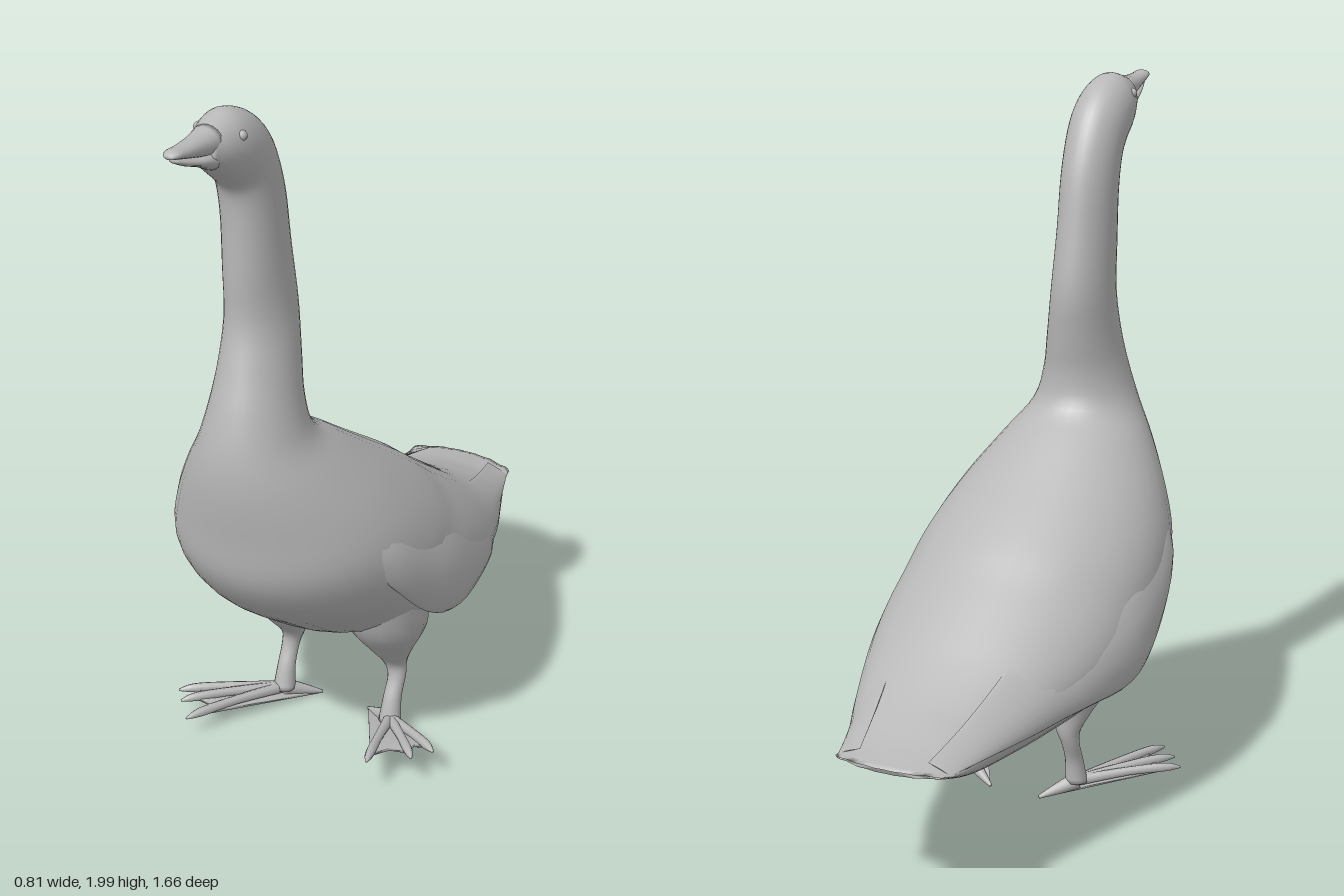
import * as THREE from 'three';

const plumage = new THREE.MeshStandardMaterial({ color: 0xb8b8b8 });
plumage.name = 'plain grey';

const V = (x, y, z) => new THREE.Vector3(x, y, z);

// Skin a list of closed rings, cap both ends and keep the faces outward.
function loft(name, rings) {
  const n = rings[0].length, pos = [], idx = [];
  rings.forEach(r => r.forEach(p => pos.push(p.x, p.y, p.z)));
  for (let i = 0; i < rings.length - 1; i++) {
    for (let j = 0; j < n; j++) {
      const a = i * n + j, b = i * n + (j + 1) % n;
      idx.push(a, b, a + n, b, b + n, a + n);
    }
  }
  [0, rings.length - 1].forEach((i, end) => {
    const c = rings[i].reduce((s, p) => s.add(p), V(0, 0, 0)).divideScalar(n);
    const k = pos.length / 3;
    pos.push(c.x, c.y, c.z);
    for (let j = 0; j < n; j++) {
      const a = i * n + j, b = i * n + (j + 1) % n;
      idx.push(...(end ? [a, b, k] : [b, a, k]));
    }
  });
  const at = k => V(pos[3 * k], pos[3 * k + 1], pos[3 * k + 2]);
  let volume = 0;
  for (let k = 0; k < idx.length; k += 3) {
    volume += at(idx[k]).dot(at(idx[k + 1]).cross(at(idx[k + 2])));
  }
  if (volume < 0) idx.reverse();
  const g = new THREE.BufferGeometry();
  g.setAttribute('position', new THREE.Float32BufferAttribute(pos, 3));
  g.setIndex(idx);
  g.computeVertexNormals();
  const mesh = new THREE.Mesh(g, plumage);
  mesh.name = name;
  return mesh;
}

// Smoothly interpolate rows of numbers, a few steps between each pair.
function refine(rows, steps) {
  const out = [], last = rows.length - 1;
  for (let i = 0; i <= last * steps; i++) {
    const k = Math.min(Math.floor(i / steps), last - 1), t = i / steps - k;
    const r = d => rows[Math.max(0, Math.min(last, k + d))];
    out.push(rows[0].map((_, c) => {
      const a = r(-1)[c], b = r(0)[c], d = r(1)[c], e = r(2)[c];
      return b + 0.5 * t * (d - a + t * (2 * a - 5 * b + 4 * d - e + t * (3 * (b - d) + e - a)));
    }));
  }
  return out;
}

// Oval ring between a front/lower point and a back/upper point.
function ovalRing([fz, fy, bz, by, w, cx], n = 36) {
  return Array.from({ length: n }, (_, j) => {
    const a = j / n * Math.PI * 2, c = Math.cos(a), s = Math.sin(a);
    return V(cx + w * s, (fy + by) / 2 + c * (fy - by) / 2, (fz + bz) / 2 + c * (fz - bz) / 2);
  });
}

// Tapered limb through rows of x, y, z, radius.
function limb(name, rows, horizontal = false, n = 12) {
  const pts = refine(rows, 4);
  const rings = pts.map((p, i) => {
    const a = pts[Math.max(0, i - 1)], b = pts[Math.min(pts.length - 1, i + 1)];
    const dir = horizontal ? V(0, -1, 0) : V(b[0] - a[0], b[1] - a[1], b[2] - a[2]).normalize();
    const u = V(0, 1, 0).cross(dir);
    if (u.lengthSq() < 0.01) u.set(1, 0, 0);
    u.normalize();
    const v = dir.clone().cross(u);
    return Array.from({ length: n }, (_, j) => {
      const t = j / n * Math.PI * 2;
      return V(p[0], p[1], p[2]).addScaledVector(u, Math.cos(t) * p[3]).addScaledVector(v, Math.sin(t) * p[3]);
    });
  });
  return loft(name, rings);
}

// Head, neck, breast, back and tail: front z, y, back z, y, half width, centre x
const BODY = [
  [0.67, 1.885, 0.665, 1.972, 0.038, -0.035], [0.63, 1.85, 0.62, 1.988, 0.06, -0.035],
  [0.58, 1.81, 0.555, 2.0, 0.077, -0.037], [0.55, 1.78, 0.47, 1.965, 0.081, -0.037],
  [0.535, 1.74, 0.4, 1.89, 0.08, -0.037], [0.53, 1.66, 0.345, 1.76, 0.079, -0.037],
  [0.53, 1.53, 0.315, 1.6, 0.08, -0.037], [0.53, 1.4, 0.29, 1.42, 0.086, -0.034],
  [0.565, 1.28, 0.305, 1.28, 0.1, -0.025], [0.6, 1.18, 0.32, 1.17, 0.118, -0.02],
  [0.627, 1.07, 0.3, 1.08, 0.15, -0.02], [0.632, 0.96, 0.2, 1.01, 0.21, -0.02],
  [0.615, 0.82, 0.08, 0.93, 0.28, -0.02], [0.59, 0.68, -0.03, 0.86, 0.33, -0.02],
  [0.5, 0.555, -0.12, 0.8, 0.355, -0.02], [0.38, 0.46, -0.2, 0.74, 0.36, -0.02],
  [0.22, 0.36, -0.28, 0.685, 0.36, -0.02], [0, 0.305, -0.36, 0.63, 0.335, -0.02],
  [-0.25, 0.29, -0.45, 0.57, 0.285, -0.02], [-0.42, 0.295, -0.55, 0.515, 0.24, -0.025],
  [-0.57, 0.315, -0.63, 0.48, 0.205, -0.04], [-0.7, 0.36, -0.72, 0.447, 0.18, -0.06],
  [-0.825, 0.412, -0.83, 0.424, 0.165, -0.07],
];

function makeBody() {
  const rings = refine(BODY, 4).map(r => ovalRing(r));
  // Scalloped tail edge
  rings.flat().forEach(p => {
    if (p.z < -0.68) {
      const d = Math.abs(p.x + 0.07) / 0.17;
      p.z += (-0.68 - p.z) / 0.15 * (0.045 * Math.min(1, d * d) - 0.012 * Math.sin(d * 9) ** 2 * d);
    }
  });
  return loft('body', rings);
}

// Folded wing: z, top y, bottom y, top x, bottom x, half thickness
const WING = [
  [0.44, 0.82, 0.78, 0.235, 0.25, 0.004], [0.32, 0.85, 0.63, 0.25, 0.325, 0.018],
  [0.16, 0.82, 0.48, 0.24, 0.35, 0.024], [0, 0.76, 0.42, 0.235, 0.357, 0.025],
  [-0.2, 0.66, 0.42, 0.2, 0.33, 0.022], [-0.4, 0.56, 0.41, 0.165, 0.27, 0.018],
  [-0.6, 0.485, 0.41, 0.13, 0.21, 0.012], [-0.77, 0.44, 0.415, 0.1, 0.165, 0.004],
];

function makeWing(side) {
  const n = 20;
  const rings = refine(WING, 4).map(([z, yt, yb, xt, xb, h]) => Array.from({ length: n }, (_, j) => {
    const a = j / n * Math.PI * 2, t = (1 - Math.cos(a)) / 2;
    const bulge = 0.14 * (yt - yb) * Math.sin(Math.PI * t);
    const cx = -0.02 - 0.05 * Math.max(0, (-z - 0.3) / 0.5);
    return V(cx + side * (xt + (xb - xt) * t + bulge + h * Math.sin(a)), yt + (yb - yt) * t, z);
  }));
  return loft(side > 0 ? 'leftWing' : 'rightWing', rings);
}

// Thigh, shank and webbed foot
function makeLeg(name, hip, ankle, heel, tips) {
  const leg = new THREE.Group();
  leg.name = name;
  const [ax, ay, az] = ankle;
  leg.add(limb('thigh', [
    [hip, 0.5, 0.13, 0.13], [hip, 0.38, 0.105, 0.115], [hip, 0.29, 0.08, 0.068], [hip, 0.225, 0.055, 0.036],
    [ax, 0.18, 0.06, 0.026], [ax, 0.12, 0.085, 0.026], [ax, 0.05, az, 0.032],
  ], true, 16));
  const toe = (to, r) => limb('toe', [
    [ax, ay, az, r * 1.3],
    [(ax + to[0]) / 2, (ay + to[1]) / 2 + 0.008, (az + to[2]) / 2, r],
    [ax + (to[0] - ax) * 0.85, ay + (to[1] - ay) * 0.85 + 0.006, az + (to[2] - az) * 0.85, r],
    [...to, 0.003],
  ], false, 8);
  tips.forEach(t => leg.add(toe(t, 0.013)));
  leg.add(limb('heel', [[ax, ay, az, 0.024], [(ax + heel[0]) / 2, (ay + heel[1]) / 2, (az + heel[2]) / 2, 0.016], [...heel, 0.005]]));
  // Web stretched between neighbouring toes
  const at = (t, k) => V(ax + (t[0] - ax) * k, ay + (t[1] - ay) * k, az + (t[2] - az) * k);
  const outline = [V(...heel), at(tips[0], 0.85), at(tips[0], 0.75).lerp(at(tips[1], 0.75), 0.5),
    at(tips[1], 0.85), at(tips[1], 0.75).lerp(at(tips[2], 0.75), 0.5), at(tips[2], 0.85)];
  const lift = h => outline.map(p => p.clone().add(V(0, h, 0)));
  leg.add(loft('web', [lift(-0.005), lift(0.004)]));
  return leg;
}

export function createModel() {
  const goose = new THREE.Group();
  goose.name = 'goose';
  goose.add(makeBody(), makeWing(1), makeWing(-1));

  // Beak in two halves
  goose.add(loft('upperBeak', refine([
    [0.64, 1.905, 0.64, 1.982, 0.045, -0.035], [0.7, 1.918, 0.7, 1.974, 0.034, -0.032],
    [0.77, 1.938, 0.77, 1.972, 0.027, -0.028], [0.81, 1.95, 0.81, 1.974, 0.024, -0.025],
    [0.828, 1.955, 0.828, 1.966, 0.012, -0.025],
  ], 3).map(r => ovalRing(r, 18))));
  goose.add(loft('lowerBeak', refine([
    [0.64, 1.862, 0.64, 1.93, 0.042, -0.035], [0.7, 1.893, 0.7, 1.922, 0.03, -0.032],
    [0.76, 1.916, 0.76, 1.936, 0.022, -0.028], [0.805, 1.938, 0.805, 1.949, 0.012, -0.025],
  ], 3).map(r => ovalRing(r, 18))));

  // Eyes
  for (const side of [-1, 1]) {
    const eye = new THREE.Mesh(new THREE.SphereGeometry(0.014, 12, 8), plumage);
    eye.name = side > 0 ? 'leftEye' : 'rightEye';
    eye.position.set(-0.037 + side * 0.062, 1.945, 0.58);
    goose.add(eye);
  }

  goose.add(makeLeg('leftLeg', 0.17, [0.18, 0.055, 0.1], [0.07, 0.014, 0.03],
    [[0.4, 0.1, 0.25], [0.37, 0.11, 0.32], [0.28, 0.12, 0.41]]));
  goose.add(makeLeg('rightLeg', -0.165, [-0.17, 0.05, 0.1], [-0.09, 0.014, 0.02],
    [[-0.41, 0.065, 0.29], [-0.37, 0.07, 0.34], [-0.31, 0.065, 0.405]]));
  return goose;
}
